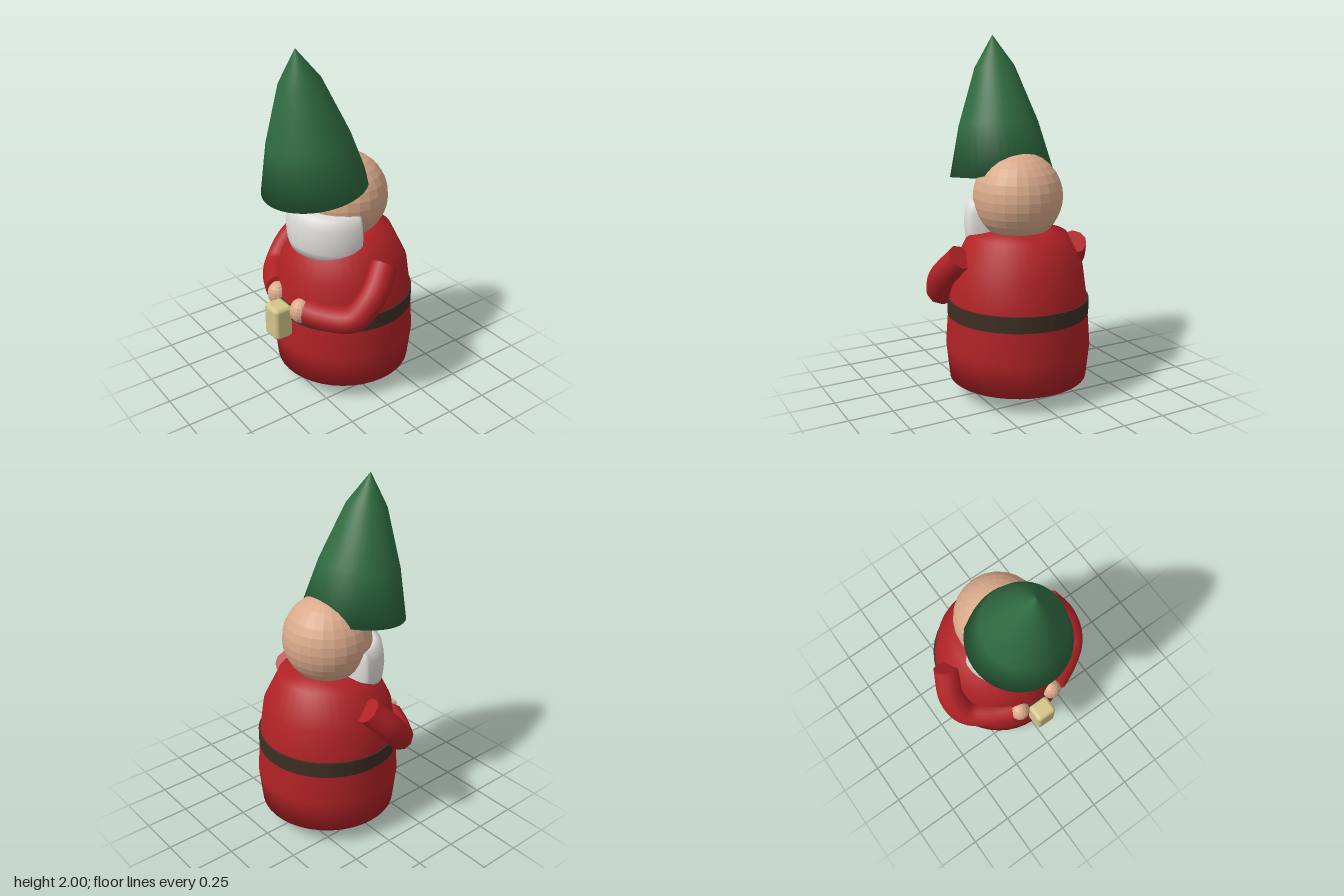
import * as THREE from 'three';
import { RoundedBoxGeometry } from 'three/addons/geometries/RoundedBoxGeometry.js';

const paint = (name, color, flatShading = false) => {
  const m = new THREE.MeshStandardMaterial({ color, flatShading });
  m.name = name;
  return m;
};

export function createModel() {
  const group = new THREE.Group();
  const red = paint('red coat', 0xb02226);
  const green = paint('green felt', 0x2f6b40);
  const skin = paint('skin', 0xd9a98a, true);
  const white = paint('white beard', 0xe0ded9);
  const brown = paint('dark brown leather', 0x3d2e23, true);
  const tan = paint('tan', 0xd4c48a);

  const add = (name, geometry, material, x = 0, y = 0, z = 0) => {
    const mesh = new THREE.Mesh(geometry, material);
    mesh.name = name;
    mesh.position.set(x, y, z);
    group.add(mesh);
    return mesh;
  };
  const lathe = (points, segments = 40) =>
    new THREE.LatheGeometry(points.map(([r, y]) => new THREE.Vector2(r, y)), segments);
  const ball = (rx, ry, rz, w = 24, h = 16) => new THREE.SphereGeometry(1, w, h).scale(rx, ry, rz);

  // Barrel-shaped coat
  add('body', lathe([
    [0, 0.1], [0.39, 0.1], [0.41, 0.29], [0.39, 0.56], [0.365, 0.74], [0.275, 0.925], [0.15, 0.945], [0, 0.945],
  ]), red, 0, 0, -0.045);

  // Belt: a flat-sided ring closed into the coat
  add('belt', lathe([[0.37, 0.47], [0.4, 0.47], [0.4, 0.47], [0.4, 0.56], [0.4, 0.56], [0.37, 0.56]]),
    brown, 0, 0, -0.045);

  // Head and nose
  add('head', ball(0.25, 0.25, 0.25), skin, 0, 1.13, -0.045);
  add('nose', ball(0.072, 0.056, 0.072, 14, 10), skin, 0, 1.143, 0.205);

  // Beard: turned shape with its back half pressed flat
  const beardShape = lathe([
    [0, 0.845], [0.19, 0.846], [0.238, 0.856], [0.25, 0.9], [0.256, 0.97], [0.25, 1.04], [0.236, 1.1], [0.2, 1.108], [0, 1.108],
  ]);
  const bp = beardShape.attributes.position;
  for (let i = 0; i < bp.count; i++) {
    bp.setX(i, bp.getX(i) * 1.06);
    if (bp.getZ(i) < 0) bp.setZ(i, bp.getZ(i) * 0.3);
  }
  beardShape.computeVertexNormals();
  add('beard', beardShape, white, 0, 0, 0.03);

  // Pointed hat, tipped forward, with a shallow domed underside
  const hat = add('hat', lathe([[0, -0.04], [0.295, 0], [0.226, 0.282], [0.113, 0.602], [0, 0.778]]),
    green, 0, 1.23, 0.145);
  hat.rotation.x = 0.14;

  // Flat end for a tube, made from one of its rings
  const tubeEnd = (tube, ring, sides, flip) => {
    const p = tube.attributes.position;
    const pts = [];
    for (let i = 0; i < sides; i++) {
      pts.push(new THREE.Vector3().fromBufferAttribute(p, ring * (sides + 1) + i));
    }
    if (flip) pts.reverse();
    const index = [];
    for (let i = 1; i < sides - 1; i++) index.push(0, i, i + 1);
    const g = new THREE.BufferGeometry().setFromPoints(pts).setIndex(index);
    g.computeVertexNormals();
    return g;
  };
  const redCap = red.clone();
  redCap.side = THREE.DoubleSide;

  for (const [side, s] of [['left', 1], ['right', -1]]) {
    // Bent arm with flat shoulder and cuff ends
    const path = new THREE.CatmullRomCurve3([
      [0.36, 0.83, -0.06], [0.415, 0.7, 0.06], [0.385, 0.585, 0.165], [0.28, 0.565, 0.245], [0.155, 0.565, 0.305],
    ].map(([x, y, z]) => new THREE.Vector3(s * x, y, z)));
    const sides = 10;
    const tube = new THREE.TubeGeometry(path, 20, 0.076, sides);
    add(side + 'Arm', tube, red);
    add(side + 'ArmShoulderEnd', tubeEnd(tube, 0, sides, false), redCap);
    add(side + 'ArmCuff', tubeEnd(tube, 20, sides, true), redCap);

    add(side + 'Hand', ball(0.06, 0.072, 0.062, 14, 10), skin, s * 0.115, 0.558, 0.33);
    add(side + 'Shoe', ball(0.14, 0.105, 0.215), brown, s * 0.16, 0.105, 0.025);
  }

  // Small block held between the hands
  add('heldBlock', new RoundedBoxGeometry(0.13, 0.2, 0.115, 3, 0.025), tan, 0, 0.468, 0.4025);

  return group;
}
